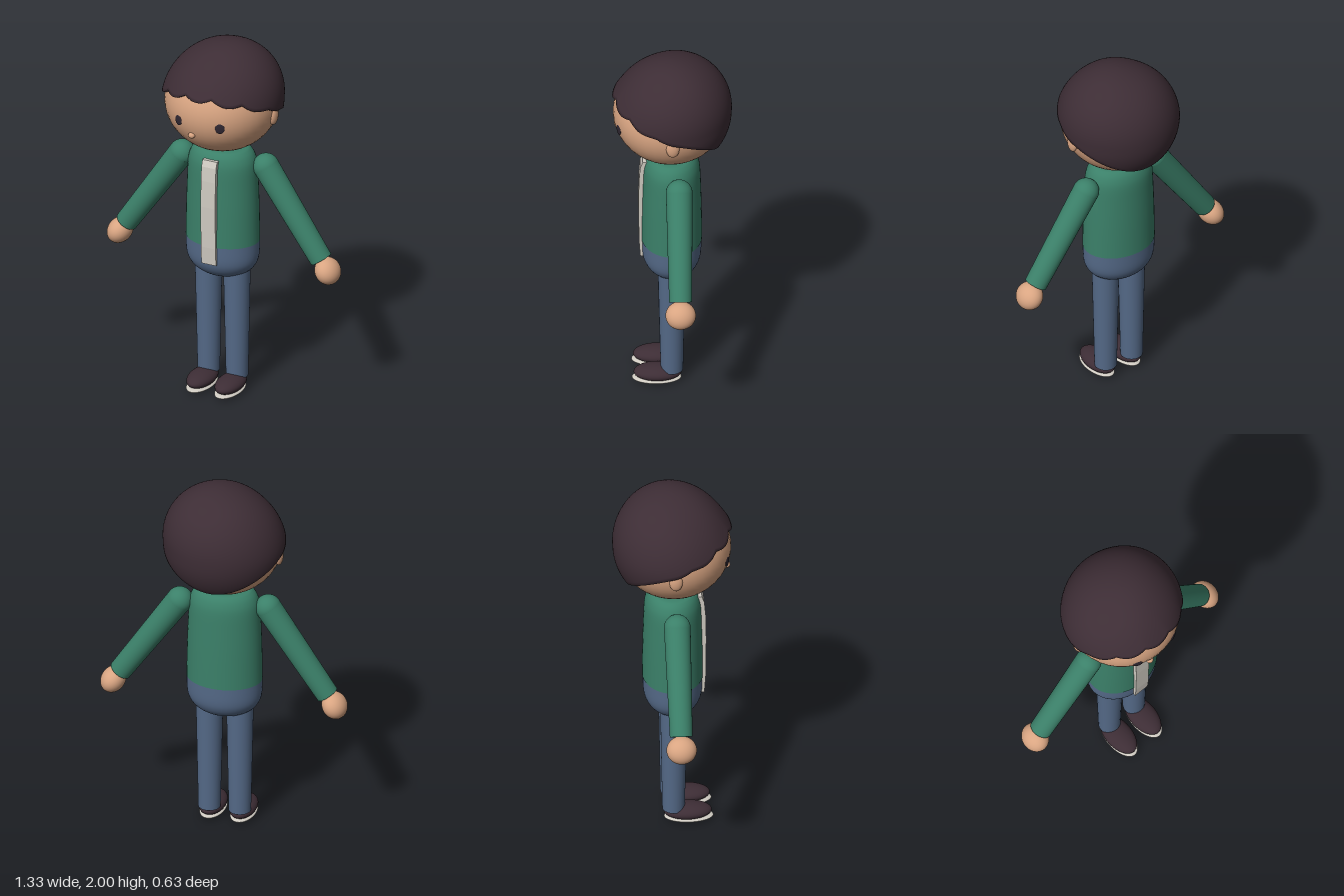
import * as THREE from 'three';

const mat = (name, color) => {
  const m = new THREE.MeshStandardMaterial({ color });
  m.name = name;
  return m;
};

export function createModel() {
  const model = new THREE.Group();
  model.name = 'boy';
  const skin = mat('skin', 0xd9a582);
  const dark = mat('dark hair and shoes', 0x3d2d35);
  const green = mat('green jacket', 0x3b8069);
  const blue = mat('blue trousers', 0x546987);
  const white = mat('off white trim', 0xd0cbc2);
  const eyeColor = mat('eye', 0x2e2630);

  const add = (name, geometry, material) => {
    const mesh = new THREE.Mesh(geometry, material);
    mesh.name = name;
    model.add(mesh);
    return mesh;
  };
  const ball = (name, material, [x, y, z], [rx, ry, rz]) => {
    const mesh = add(name, new THREE.SphereGeometry(1, 40, 28), material);
    mesh.position.set(x, y, z);
    mesh.scale.set(rx, ry, rz);
    return mesh;
  };
  // Tapered cylinder between two points
  const limb = (name, material, from, to, r0, r1) => {
    const a = new THREE.Vector3(...from), b = new THREE.Vector3(...to);
    const dir = a.clone().sub(b);
    const mesh = add(name, new THREE.CylinderGeometry(r0, r1, dir.length(), 32), material);
    mesh.position.copy(a).add(b).multiplyScalar(0.5);
    mesh.quaternion.setFromUnitVectors(new THREE.Vector3(0, 1, 0), dir.normalize());
  };
  const lathe = (name, material, pts, depth) => {
    const curve = new THREE.SplineCurve(pts.map(p => new THREE.Vector2(...p)));
    const profile = curve.getPoints(28);
    profile.forEach(p => { p.x = Math.max(0, p.x); });
    add(name, new THREE.LatheGeometry(profile, 48), material).scale.z = depth;
  };

  // Torso: trousers below, jacket above
  lathe('hips', blue, [[0, 0.645], [0.09, 0.66], [0.15, 0.69], [0.185, 0.73], [0.2, 0.78], [0.203, 0.865]], 0.775);
  lathe('jacket', green, [[0.203, 0.865], [0.2, 1.05], [0.195, 1.2], [0.19, 1.3], [0.178, 1.35],
    [0.155, 1.385], [0.12, 1.4], [0, 1.402]], 0.79);

  // Front strip, a side profile extruded across x
  const strip = new THREE.Shape([[0.165, 0.765], [0.172, 0.865], [0.175, 1.1], [0.172, 1.25], [0.165, 1.33],
    [0.152, 1.365], [0.11, 1.365], [0.135, 1.2], [0.135, 0.765]].map(p => new THREE.Vector2(...p)));
  const stripGeo = new THREE.ExtrudeGeometry(strip, { depth: 0.085, bevelEnabled: false });
  stripGeo.rotateY(-Math.PI / 2).translate(0.041, 0, 0);
  add('jacketStrip', stripGeo, white);

  // Head, face and ears
  ball('head', skin, [0, 1.67, 0.006], [0.305, 0.275, 0.302]);
  ball('nose', skin, [-0.042, 1.565, 0.284], [0.019, 0.017, 0.017]);
  for (const s of [-1, 1]) {
    ball('ear', skin, [s * 0.297, 1.63, 0], [0.022, 0.052, 0.035]);
    const eye = ball('eye', eyeColor, [s * 0.121, 1.635, 0.28], [0.025, 0.029, 0.005]);
    eye.rotation.y = s * 0.41;
  }
  add('hair', hairGeometry(), dark);

  // Arms and hands, with a slightly different depth on each side
  for (const [s, z] of [[-1, 0.01], [1, -0.035]]) {
    ball('shoulder', green, [s * 0.235, 1.305, z], [0.07, 0.07, 0.07]);
    limb('sleeve', green, [s * 0.235, 1.305, z], [s * 0.558, 0.83, z], 0.07, 0.06);
    const hand = ball('hand', skin, [s * 0.597, 0.772, z], [0.064, 0.075, 0.08]);
    hand.rotation.z = s * 0.6;
  }

  // Legs and shoes
  for (const s of [-1, 1]) {
    const x = s * 0.083;
    limb('leg', blue, [x, 0.75, 0.002], [x, 0.07, 0], 0.073, 0.059);
    ball('shoe', dark, [x, 0.053, 0.075], [0.071, 0.042, 0.126]);
    ball('sole', white, [x, 0.019, 0.08], [0.068, 0.016, 0.13]);
    const tread = add('tread', new THREE.CylinderGeometry(1, 1, 0.007, 32), dark);
    tread.position.set(x, 0.0035, 0.08);
    tread.scale.set(0.04, 1, 0.085);
  }
  return model;
}

// Hair cap: rows from the crown to a scalloped fringe, then a rim turned in to the head
function hairGeometry() {
  const N = 120, ROWS = 24, pos = [], index = [];
  for (let j = 0; j <= ROWS + 2; j++) {
    const t = Math.min(j / ROWS, 1);
    for (let i = 0; i < N; i++) {
      const phi = (i / N) * Math.PI * 2 - Math.PI;
      const c = Math.cos(phi), front = Math.max(0, c);
      let edge = c > 0 ? 1.665 + 0.125 * c : 1.665 + 0.065 * c - 0.11 * c * c;
      edge += Math.min(1, front * 1.6) * (0.012 - 0.026 * Math.abs(Math.cos(6 * phi)));
      const theta = t * Math.acos((edge - 1.68) / 0.32);
      const nx = Math.sin(theta) * Math.sin(phi), ny = Math.cos(theta), nz = Math.sin(theta) * c;
      const up = Math.max(0, ny);
      const f = 1 + 0.09 * nx * up - 0.05 * nz * up + 0.006 * Math.sin(5 * nx + 4 * nz) * up;
      const flare = 1 + 0.05 * front * t ** 5;
      const inset = [1, 0.955, 0.86][Math.max(0, j - ROWS)];
      const lift = [0, -0.004, 0.012][Math.max(0, j - ROWS)];
      pos.push(0.325 * nx * f * inset, 1.68 + 0.32 * ny * f + lift, 0.316 * nz * f * flare * inset);
    }
  }
  for (let j = 0; j < ROWS + 2; j++) {
    for (let i = 0; i < N; i++) {
      const k = (i + 1) % N;
      const a = j * N + i, b = j * N + k, d = a + N, e = b + N;
      if (j > 0) index.push(a, d, b);
      index.push(b, d, e);
    }
  }
  const g = new THREE.BufferGeometry();
  g.setAttribute('position', new THREE.Float32BufferAttribute(pos, 3));
  g.setIndex(index);
  g.computeVertexNormals();
  return g;
}
